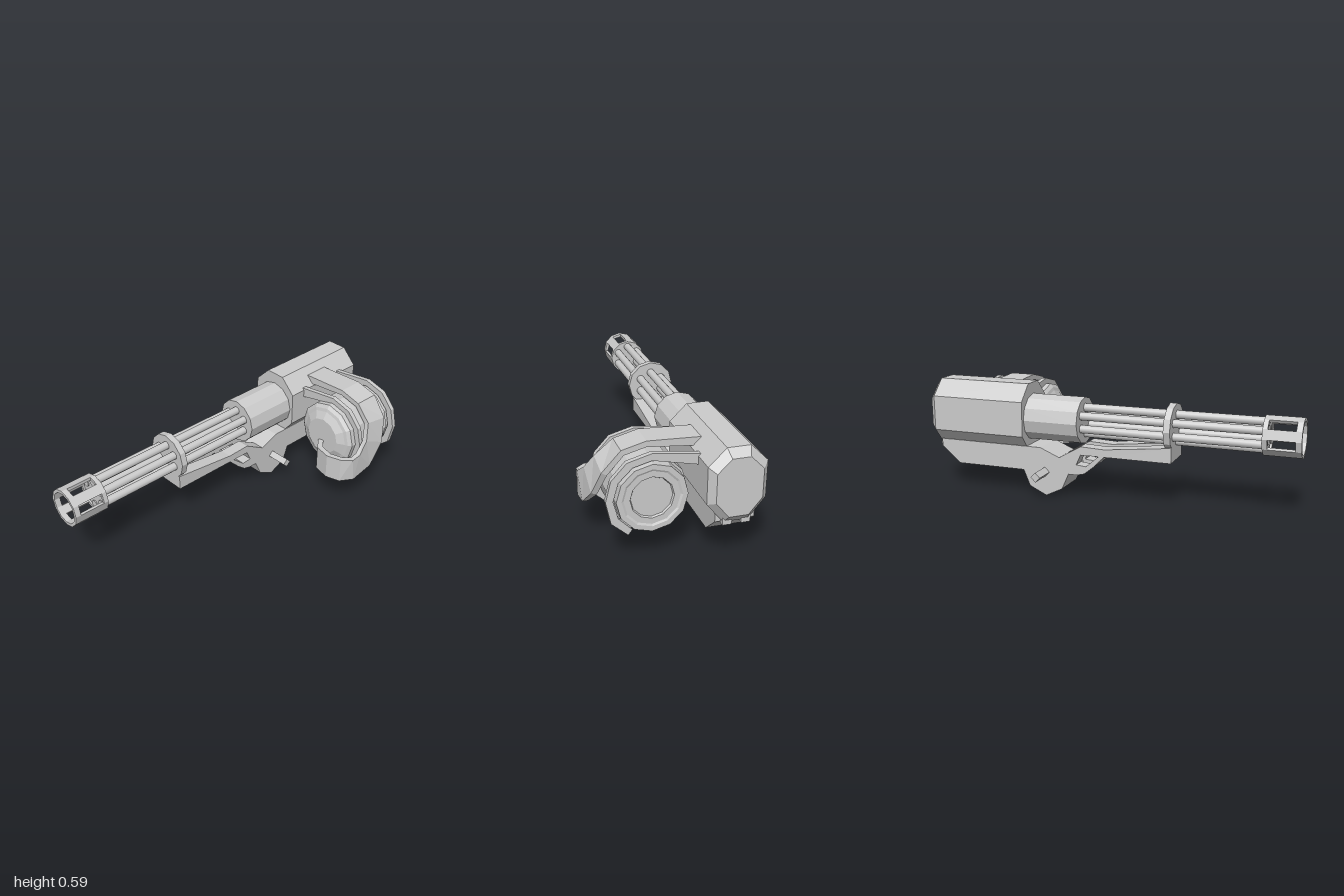
import * as THREE from 'three';

const AX = -0.205, AY = 0.405; // barrel axis
const DX = 0.155, DY = 0.332; // ammo drum axis
const V = (x, y, z) => new THREE.Vector3(x, y, z);
const mat = new THREE.MeshStandardMaterial({ color: 0xcccccc, flatShading: true });
const smooth = new THREE.MeshStandardMaterial({ color: 0xcccccc });

export function createModel() {
  const group = new THREE.Group();
  const add = (name, geo, x = 0, y = 0, z = 0, m = mat) => {
    const mesh = new THREE.Mesh(geo, m);
    mesh.name = name;
    mesh.position.set(x, y, z);
    group.add(mesh);
    return mesh;
  };

  // Closed skin over a list of matching convex rings of points
  const loft = (rings) => {
    const n = rings[0].length, pos = [], idx = [];
    rings.forEach((r) => r.forEach((p) => pos.push(p.x, p.y, p.z)));
    for (let s = 0; s < rings.length - 1; s++)
      for (let i = 0; i < n; i++) {
        const a = s * n + i, b = s * n + (i + 1) % n;
        idx.push(a, a + n, b + n, a, b + n, b);
      }
    const e = (rings.length - 1) * n;
    for (let i = 1; i < n - 1; i++) idx.push(0, i, i + 1, e, e + i + 1, e + i);
    const g = new THREE.BufferGeometry();
    g.setAttribute('position', new THREE.Float32BufferAttribute(pos, 3));
    g.setIndex(idx);
    const flat = g.toNonIndexed();
    flat.computeVertexNormals();
    return flat;
  };

  // Cylinder lying along z between two depths
  const rod = (r, z0, z1, sides) =>
    new THREE.CylinderGeometry(r, r, z1 - z0, sides).rotateX(Math.PI / 2).translate(0, 0, (z0 + z1) / 2);

  const shapeOf = (pts) => new THREE.Shape(pts.map(([x, y]) => new THREE.Vector2(x, y)));
  const extrude = (shape, depth) => new THREE.ExtrudeGeometry(shape, { depth, bevelEnabled: false });
  // Side profile (z, y) given a width across x
  const sideways = (shape, width) =>
    extrude(shape, width).translate(0, 0, -width / 2).rotateY(-Math.PI / 2);

  // Receiver: stretched octagon with a bevelled back
  const octagon = [[0.057, 0.185], [-0.057, 0.185], [-0.142, 0.1], [-0.142, -0.085],
    [-0.06, -0.185], [0.06, -0.185], [0.142, -0.085], [0.142, 0.1]];
  const oct = (z, k) => octagon.map(([x, y]) => V(AX + x * k, AY + y * k, z));
  add('receiver', loft([oct(-0.44, 1), oct(-0.965, 1), oct(-1, 0.78)]));

  // Barrel cluster
  add('barrelSleeve', rod(0.125, -0.46, -0.14, 12), AX, AY);
  for (let i = 0; i < 6; i++) {
    const a = Math.PI / 6 + i * Math.PI / 3;
    add('barrel', rod(0.022, -0.15, 0.83, 12), AX + 0.069 * Math.cos(a), AY + 0.069 * Math.sin(a), 0, smooth);
  }
  add('barrelClamp', rod(0.127, 0.325, 0.36, 12), AX, AY);

  // Slotted muzzle: two rings joined by six staves
  const polar = (r, i) => [r * Math.cos(i * Math.PI / 6), r * Math.sin(i * Math.PI / 6)];
  const loop12 = (r) => Array.from({ length: 12 }, (_, i) => polar(r, i));
  const ring = shapeOf(loop12(0.102));
  ring.holes.push(shapeOf(loop12(0.085)));
  add('muzzleRing', extrude(ring, 0.025), AX, AY, 0.81);
  add('muzzleRing', extrude(ring, 0.03), AX, AY, 0.97);
  add('muzzlePlate', rod(0.088, 0.812, 0.825, 12), AX, AY);
  for (let i = 1; i < 12; i += 2) {
    const stave = shapeOf([polar(0.085, i), polar(0.102, i), polar(0.102, i + 1), polar(0.085, i + 1)]);
    add('muzzleStave', extrude(stave, 0.136), AX, AY, 0.834);
  }

  // Lower mount and its pivot
  const mount = shapeOf([[-0.15, 0.13], [-0.2, 0.13], [-0.238, 0.045], [-0.33, 0], [-0.425, 0.045],
    [-0.46, 0.13], [-0.85, 0.13], [-0.955, 0.22], [-0.955, 0.26], [-0.36, 0.26], [-0.24, 0.21], [-0.17, 0.18]]);
  add('mount', sideways(mount, 0.192), AX);
  add('pivotPin', new THREE.CylinderGeometry(0.026, 0.026, 0.43, 4).rotateZ(Math.PI / 2), AX, 0.13, -0.335);

  // Twin support rails reaching forward to the barrel clamp
  const rail = shapeOf([[0.36, 0.32], [0.36, 0.24], [0, 0.24], [-0.06, 0.18], [-0.11, 0.14],
    [-0.15, 0.13], [-0.21, 0.13], [-0.26, 0.21], [-0.24, 0.222], [-0.13, 0.285], [0, 0.28]]);
  rail.holes.push(shapeOf([[-0.03, 0.24], [-0.13, 0.24], [-0.155, 0.185], [-0.1, 0.18]]));
  for (const s of [-1, 1]) {
    add('supportRail', sideways(rail, 0.07), AX + s * 0.061);
    add('rearCatch', new THREE.BoxGeometry(0.045, 0.045, 0.03), AX + s * 0.045, 0.232, -0.962);
  }
  add('railBridge', new THREE.BoxGeometry(0.19, 0.05, 0.06), AX, 0.265, 0.33);

  // Ammo drum with stepped faces
  const drum = [[0, -0.845], [0.1, -0.845], [0.105, -0.855], [0.135, -0.855], [0.145, -0.86], [0.17, -0.86],
    [0.172, -0.8], [0.184, -0.8], [0.184, -0.505], [0.165, -0.49], [0.147, -0.485], [0.106, -0.462], [0, -0.462]];
  add('ammoDrum', new THREE.LatheGeometry(drum.map(([r, z]) => new THREE.Vector2(r, z)), 12)
    .rotateX(Math.PI / 2), DX, DY);

  // Hooked brackets holding the drum to the receiver
  const hook = [[-0.08, 0.515], [0.155, 0.547], [0.272, 0.515], [0.345, 0.435], [0.37, 0.332], [0.345, 0.22], [0.265, 0.15]];
  for (let i = -2; i <= 3; i++) {
    const [x, y] = polar(0.18, i);
    hook.push([DX + x, DY + y]);
  }
  hook.push([-0.08, 0.46]);
  for (const z of [-0.845, -0.558]) add('drumBracket', extrude(shapeOf(hook), 0.026), 0, 0, z);

  // Feed belt: [centre, half width, half thickness], twisting from over the drum to its front
  const belt = [
    [V(-0.11, 0.532, -0.68), V(0, 0, 0.07), V(0, 0.022, 0)],
    [V(0.152, 0.55, -0.68), V(0, 0, 0.07), V(0, 0.015, 0)],
    [V(0.265, 0.52, -0.68), V(0, 0, 0.07), V(0.007, 0.013, 0)],
    [V(0.348, 0.432, -0.67), V(0, 0.012, 0.07), V(0.013, 0.008, 0)],
    [V(0.385, 0.335, -0.62), V(0, 0.035, 0.07), V(0.014, 0.005, 0)],
    [V(0.402, 0.265, -0.53), V(0, 0.058, 0.05), V(0.014, 0, 0)],
    [V(0.398, 0.242, -0.445), V(0, 0.068, 0.01), V(0.013, 0, 0.007)],
    [V(0.355, 0.238, -0.398), V(0, 0.07, 0), V(0.008, 0, 0.013)],
    [V(0.28, 0.235, -0.38), V(0, 0.07, 0), V(0, 0, 0.015)],
    [V(0.198, 0.236, -0.4), V(0, 0.069, 0), V(-0.009, 0, 0.013)],
    [V(0.148, 0.238, -0.46), V(0, 0.067, 0), V(-0.013, 0, 0.007)],
  ];
  const corners = [[1, 1], [-1, 1], [-1, -1], [1, -1]];
  add('feedBelt', loft(belt.map(([c, w, t]) =>
    corners.map(([a, b]) => c.clone().addScaledVector(w, a).addScaledVector(t, b)))));

  return group;
}
